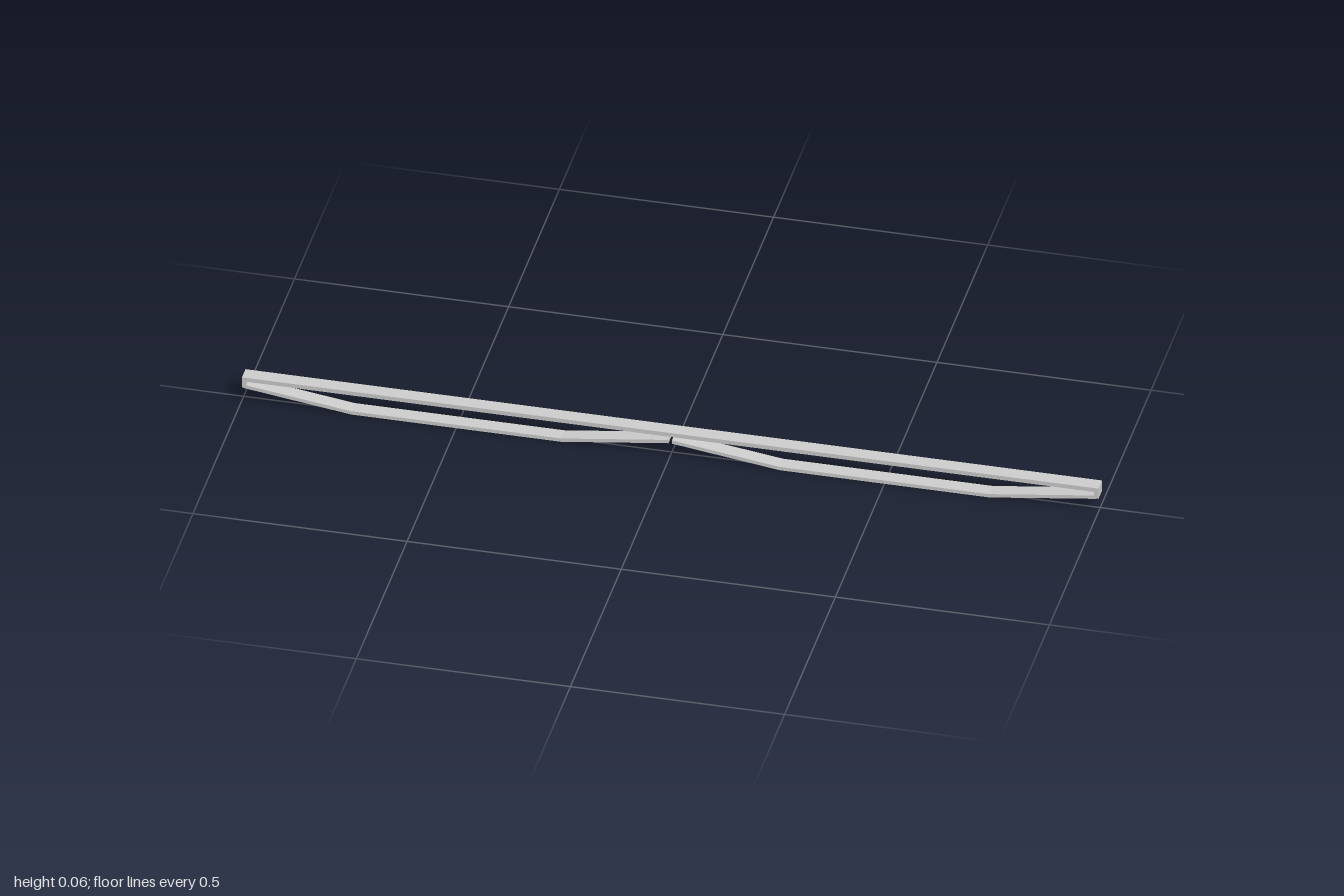
import * as THREE from 'three';

const DEPTH = 0.035;

// Extrudes a side profile through the depth, centred on z = 0
function strip(name, points, material) {
  const shape = new THREE.Shape(points.map(([x, y]) => new THREE.Vector2(x, y)));
  const geometry = new THREE.ExtrudeGeometry(shape, { depth: DEPTH, bevelEnabled: false });
  geometry.translate(0, 0, -DEPTH / 2);
  const mesh = new THREE.Mesh(geometry, material);
  mesh.name = name;
  return mesh;
}

export function createModel() {
  const group = new THREE.Group();
  group.name = 'trussedBeam';
  const material = new THREE.MeshStandardMaterial({ color: 0xcccccc, flatShading: true });

  // Straight top rail
  const rail = new THREE.Mesh(new THREE.BoxGeometry(2, 0.0105, DEPTH), material);
  rail.position.y = 0.0572;
  rail.name = 'topRail';
  group.add(rail);

  // Two shallow trough-shaped lower rails, meeting near the middle
  const lower = [
    [0.004, 0.034], [0.255, 0], [0.745, 0], [0.995, 0.034],
    [0.995, 0.043], [0.745, 0.009], [0.255, 0.009], [0.004, 0.043],
  ];
  for (const side of [-1, 1]) {
    const points = lower.map(([x, y]) => [side * x, y]);
    group.add(strip(side > 0 ? 'leftLowerRail' : 'rightLowerRail', points, material));

    // End post tying the lower rail to the top rail
    const post = [[0.99, 0.034], [1, 0.035], [1, 0.052], [0.99, 0.052]];
    group.add(strip(side > 0 ? 'leftEndPost' : 'rightEndPost',
      post.map(([x, y]) => [side * x, y]), material));
  }
  return group;
}
